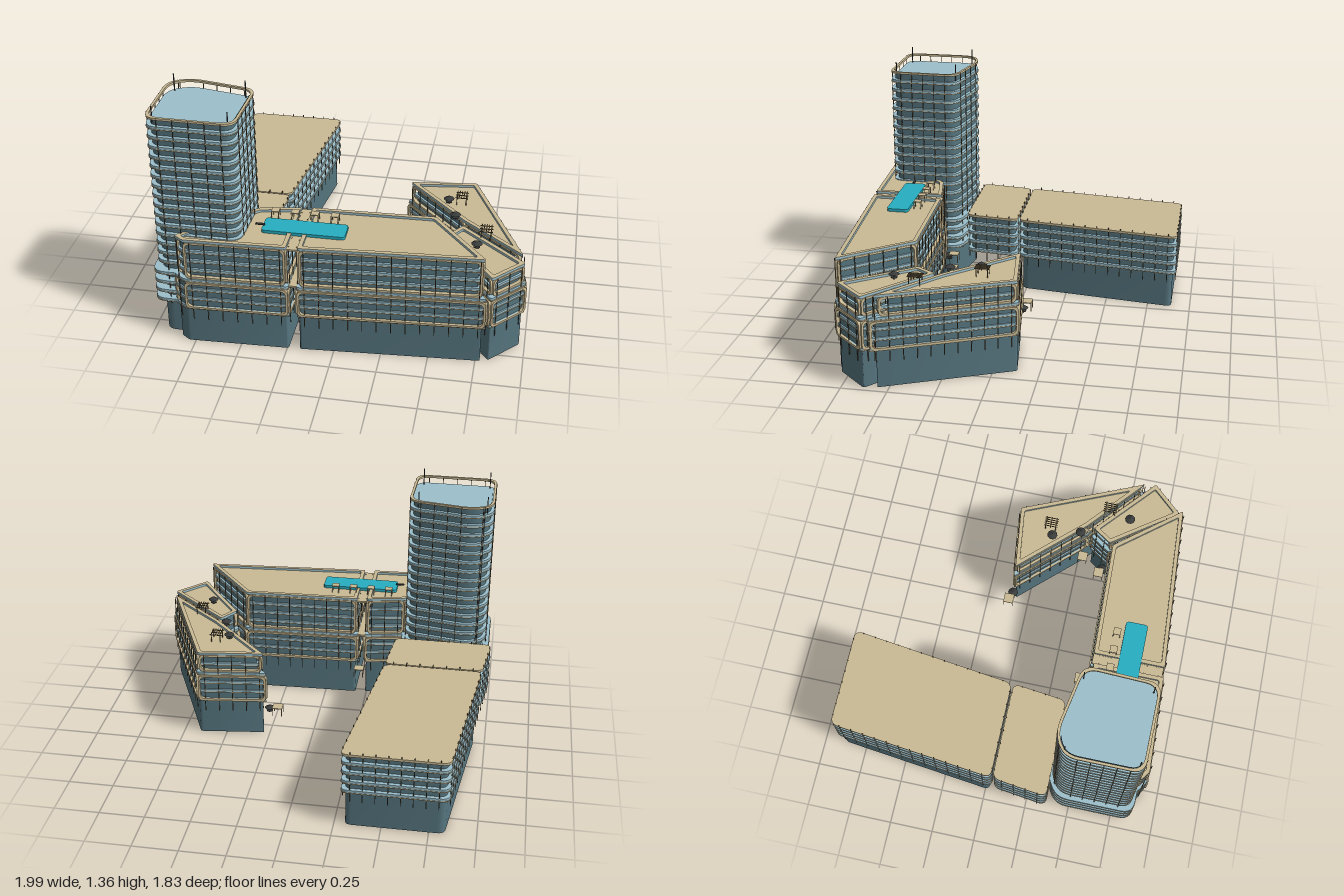
import * as THREE from 'three';
import { mergeGeometries, toCreasedNormals } from 'three/addons/utils/BufferGeometryUtils.js';

const mat = (color, side = THREE.FrontSide) => new THREE.MeshStandardMaterial({ color, side });
const glass = mat(0x56757f);
const baseGlass = mat(0x56757f, THREE.DoubleSide);
const blue = mat(0x9cc0cc);
const tan = mat(0xcbbb95);
const bronze = mat(0x6b5d45);
const dark = mat(0x3a3c3c, THREE.DoubleSide);
const water = mat(0x27afc2);

const STEP = 0.0572, FIRST = 0.225;
const floorY = (i) => FIRST + i * STEP;

// Footprints are [x, z] corners, counter-clockwise seen from above
function inset(poly, d) {
  const n = poly.length;
  const lines = poly.map((a, i) => {
    const b = poly[(i + 1) % n], dx = b[0] - a[0], dz = b[1] - a[1], l = Math.hypot(dx, dz);
    return { p: [a[0] + (dz / l) * d, a[1] - (dx / l) * d], u: [dx / l, dz / l] };
  });
  return lines.map((L, i) => {
    const K = lines[(i + n - 1) % n];
    const cross = K.u[0] * L.u[1] - K.u[1] * L.u[0];
    const t = ((L.p[0] - K.p[0]) * L.u[1] - (L.p[1] - K.p[1]) * L.u[0]) / cross;
    return [K.p[0] + K.u[0] * t, K.p[1] + K.u[1] * t];
  });
}

function outline(poly, r) {
  const v = poly.map(([x, z]) => new THREE.Vector2(x, -z)), n = v.length;
  const s = new THREE.Shape();
  v.forEach((p, i) => {
    const toward = (q) => p.clone().lerp(q, Math.min(0.45, r / p.distanceTo(q)));
    const a = toward(v[(i + n - 1) % n]), b = toward(v[(i + 1) % n]);
    if (i === 0) s.moveTo(a.x, a.y); else s.lineTo(a.x, a.y);
    s.quadraticCurveTo(p.x, p.y, b.x, b.y);
  });
  s.closePath();
  return s;
}

function add(parent, name, geo, material) {
  const m = new THREE.Mesh(geo, material);
  m.name = name;
  parent.add(m);
  return m;
}

function slab(poly, r, y, h, hole = 0) {
  const s = outline(poly, r);
  if (hole) s.holes.push(outline(inset(poly, hole), r));
  return new THREE.ExtrudeGeometry(s, { depth: h, bevelEnabled: false, curveSegments: 6 })
    .rotateX(-Math.PI / 2).translate(0, y, 0);
}

// Open wall around a footprint
function wall(poly, r, y0, y1) {
  const p = outline(poly, r).getPoints(6), pos = [];
  p.forEach((a, i) => {
    const b = p[(i + 1) % p.length];
    if (a.distanceTo(b) < 1e-5) return;
    const v = (q, y) => [q.x, y, -q.y];
    pos.push(...v(a, y0), ...v(b, y0), ...v(b, y1), ...v(a, y0), ...v(b, y1), ...v(a, y1));
  });
  const g = new THREE.BufferGeometry();
  g.setAttribute('position', new THREE.Float32BufferAttribute(pos, 3));
  return toCreasedNormals(g, 0.6);
}

const box = (w, h, d, x, y, z) => new THREE.BoxGeometry(w, h, d).translate(x, y, z);

function eachEdge(poly, fn) {
  poly.forEach((a, i) => {
    const b = poly[(i + 1) % poly.length];
    fn(a, b, Math.hypot(b[0] - a[0], b[1] - a[1]));
  });
}

// Thin upright fins spaced along every edge
function fins(poly, y0, y1, gap, margin) {
  const list = [];
  eachEdge(poly, (a, b, l) => {
    const n = Math.max(1, Math.round((l - 2 * margin) / gap));
    for (let i = 0; i <= n; i++) {
      const t = (margin + ((l - 2 * margin) * i) / n) / l;
      list.push(box(0.004, y1 - y0, 0.004, a[0] + (b[0] - a[0]) * t, (y0 + y1) / 2, a[1] + (b[1] - a[1]) * t));
    }
  });
  return mergeGeometries(list);
}

// Rounded frames lying on the long facades
function frames(poly, y0, y1) {
  const list = [];
  eachEdge(poly, (a, b, l) => {
    if (l < 0.15) return;
    const rect = (e) => outline([[e, -e], [l - e, -e], [l - e, e - (y1 - y0)], [e, e - (y1 - y0)]], 0.03);
    const s = rect(0);
    s.holes.push(rect(0.012));
    list.push(new THREE.ExtrudeGeometry(s, { depth: 0.02, bevelEnabled: false, curveSegments: 5 })
      .translate(0, 0, -0.01)
      .rotateY(Math.atan2(a[1] - b[1], b[0] - a[0])).translate(a[0], y0, a[1]));
  });
  return mergeGeometries(list);
}

// Floor edge: blue band on a thin tan lip
function floorBand(g, poly, r, y) {
  add(g, 'floorBand', slab(poly, r, y - 0.006, 0.013), blue);
  add(g, 'floorLip', slab(inset(poly, -0.002), r, y - 0.011, 0.005), tan);
}

function tower() {
  const g = new THREE.Group();
  g.name = 'tower';
  const P = [[-0.98, 0.86], [-0.47, 0.865], [-0.455, 0.42], [-0.85, 0.345], [-0.98, 0.42]];
  const up = inset(P, 0.02), body = inset(P, 0.04);
  add(g, 'towerBase', wall(body, 0.06, 0, FIRST), baseGlass);
  add(g, 'towerWall', wall(body, 0.06, FIRST, 1.305), glass);
  for (let i = 0; i < 19; i++) floorBand(g, i < 4 ? P : up, 0.07, floorY(i));
  add(g, 'towerRoof', slab(body, 0.06, 1.25, 0.008), tan);
  add(g, 'parapetRing', slab(up, 0.07, 1.298, 0.012, 0.014), tan);
  add(g, 'towerFins', fins(up, 0.19, 1.31, 0.075, 0.07), bronze);
  const masts = [[-0.92, 0.81], [-0.53, 0.81], [-0.92, 0.43], [-0.53, 0.45]];
  add(g, 'masts', mergeGeometries(masts.map(([x, z]) => box(0.005, 0.11, 0.005, x, 1.305, z))), dark);
  return g;
}

function wing(name, P, onGround) {
  const g = new THREE.Group();
  g.name = name;
  const body = inset(P, 0.02);
  if (onGround) add(g, 'wingBase', wall(body, 0.04, 0, FIRST), baseGlass);
  add(g, 'wingWall', wall(body, 0.04, FIRST, 0.45), glass);
  for (let i = 0; i < 4; i++) floorBand(g, P, 0.045, floorY(i));
  add(g, 'wingRoof', slab(P, 0.045, 0.438, 0.014), tan);
  add(g, 'wingFins', fins(inset(P, 0.003), 0.16, 0.465, 0.07, 0.05), bronze);
  return g;
}

// Framed block: ground walls, lower storeys, set-back upper storeys
function block(name, P, floors, top) {
  const g = new THREE.Group();
  g.name = name;
  const low = inset(P, 0.012), up = inset(P, 0.028), upEdge = inset(P, 0.016);
  add(g, 'blockBase', wall(low, 0.015, 0, FIRST), baseGlass);
  add(g, 'lowerWall', wall(low, 0.015, FIRST, 0.4), glass);
  add(g, 'upperWall', wall(up, 0.015, 0.4, top), glass);
  for (let i = 0; i < floors; i++) floorBand(g, i < 4 ? inset(P, 0.004) : upEdge, 0.015, floorY(i));
  add(g, 'lowerFrames', frames(inset(P, 0.006), 0.22, 0.385), tan);
  add(g, 'upperFrames', frames(inset(P, 0.018), 0.405, top - 0.012), tan);
  add(g, 'blockRoof', slab(up, 0.012, top - 0.02, 0.008), tan);
  add(g, 'roofEdge', slab(inset(P, 0.012), 0.012, top - 0.014, 0.014, 0.022), blue);
  add(g, 'roofEdgeCap', slab(inset(P, 0.012), 0.012, top, 0.002, 0.022), tan);
  add(g, 'blockFins', fins(inset(P, 0.004), 0.15, top - 0.01, 0.075, 0.04), bronze);
  return g;
}

// Flat-topped stand on four thin legs
function canopy(x, y, z, size, h) {
  const list = [box(size, 0.005, size, x, y + h, z)];
  for (const sx of [-1, 1]) for (const sz of [-1, 1])
    list.push(box(0.004, h, 0.004, x + sx * size * 0.45, y + h / 2, z + sz * size * 0.45));
  return mergeGeometries(list);
}

function parasol(x, y, z) {
  return mergeGeometries([
    new THREE.ConeGeometry(0.03, 0.02, 10).translate(x, y + 0.04, z),
    new THREE.CylinderGeometry(0.003, 0.003, 0.04, 6).translate(x, y + 0.02, z),
    new THREE.CylinderGeometry(0.018, 0.018, 0.004, 10).translate(x, y + 0.012, z),
  ]);
}

function pergola(x, y, z) {
  const list = [];
  for (let i = -2; i <= 2; i++) {
    list.push(box(0.004, 0.004, 0.08, x + i * 0.013, y + 0.05, z));
    if (i % 2 === 0) list.push(box(0.07, 0.004, 0.004, x, y + 0.046, z + i * 0.015));
  }
  for (const sx of [-1, 1]) for (const sz of [-1, 1])
    list.push(box(0.004, 0.05, 0.004, x + sx * 0.026, y + 0.025, z + sz * 0.03));
  return mergeGeometries(list);
}

export function createModel() {
  const model = new THREE.Group();
  model.name = 'buildingComplex';

  model.add(tower());
  model.add(wing('backWing', [[-0.96, 0.045], [-0.4, 0.045], [-0.28, -0.91], [-0.85, -0.91]], true));
  model.add(wing('bridgeWing', [[-1, 0.37], [-0.435, 0.37], [-0.4, 0.055], [-0.96, 0.055]], false));
  model.add(block('frontLeftBlock', [[-0.86, 0.86], [-0.79, 0.91], [-0.23, 0.89], [-0.23, 0.465], [-0.47, 0.51]], 7, 0.64));
  model.add(block('frontRightBlock', [[-0.195, 0.888], [0.805, 0.825], [0.49, 0.44], [-0.195, 0.46]], 7, 0.64));
  model.add(block('cornerBlock', [[0.815, 0.82], [0.992, 0.63], [0.615, 0.305], [0.53, 0.43]], 5, 0.52));
  model.add(block('rightWing', [[0.615, 0.29], [0.992, 0.61], [0.66, -0.14], [0.255, -0.09]], 5, 0.525));

  // Walkways crossing the gap between the front blocks
  for (const y of [0.395, 0.622]) add(model, 'walkway', box(0.06, 0.01, 0.4, -0.212, y, 0.67), tan);

  // Roof terrace with pool
  const pool = [[-0.405, 0.74], [0.04, 0.74], [0.04, 0.615], [-0.405, 0.615]];
  add(model, 'pool', slab(pool, 0.02, 0.625, 0.02), water);
  add(model, 'divingBoard', box(0.05, 0.006, 0.014, -0.42, 0.65, 0.69), dark);
  for (const x of [-0.362, -0.255, -0.148, -0.04])
    add(model, 'roofCanopy', canopy(x, 0.63, 0.575, 0.042, 0.042), tan);

  // Furniture on the lower roofs
  for (const [x, z] of [[0.515, 0.09], [0.71, 0.52], [0.568, 0.25]])
    add(model, 'parasol', parasol(x, 0.512, z), dark);
  for (const [x, z] of [[0.585, 0.07], [0.75, 0.395]])
    add(model, 'pergola', pergola(x, 0.512, z), bronze);

  // Entrance canopies and parasols in the courtyard
  for (const [x, z] of [[0.195, -0.105], [-0.41, 0.45], [-0.21, 0.415], [0.475, 0.395], [0.56, 0.28]])
    add(model, 'entranceCanopy', canopy(x, 0.15, z, 0.058, 0.05), tan);
  for (const [x, z] of [[0.245, -0.09], [-0.43, 0.485], [0.51, 0.41]])
    add(model, 'courtParasol', parasol(x, 0.15, z), dark);

  return model;
}
